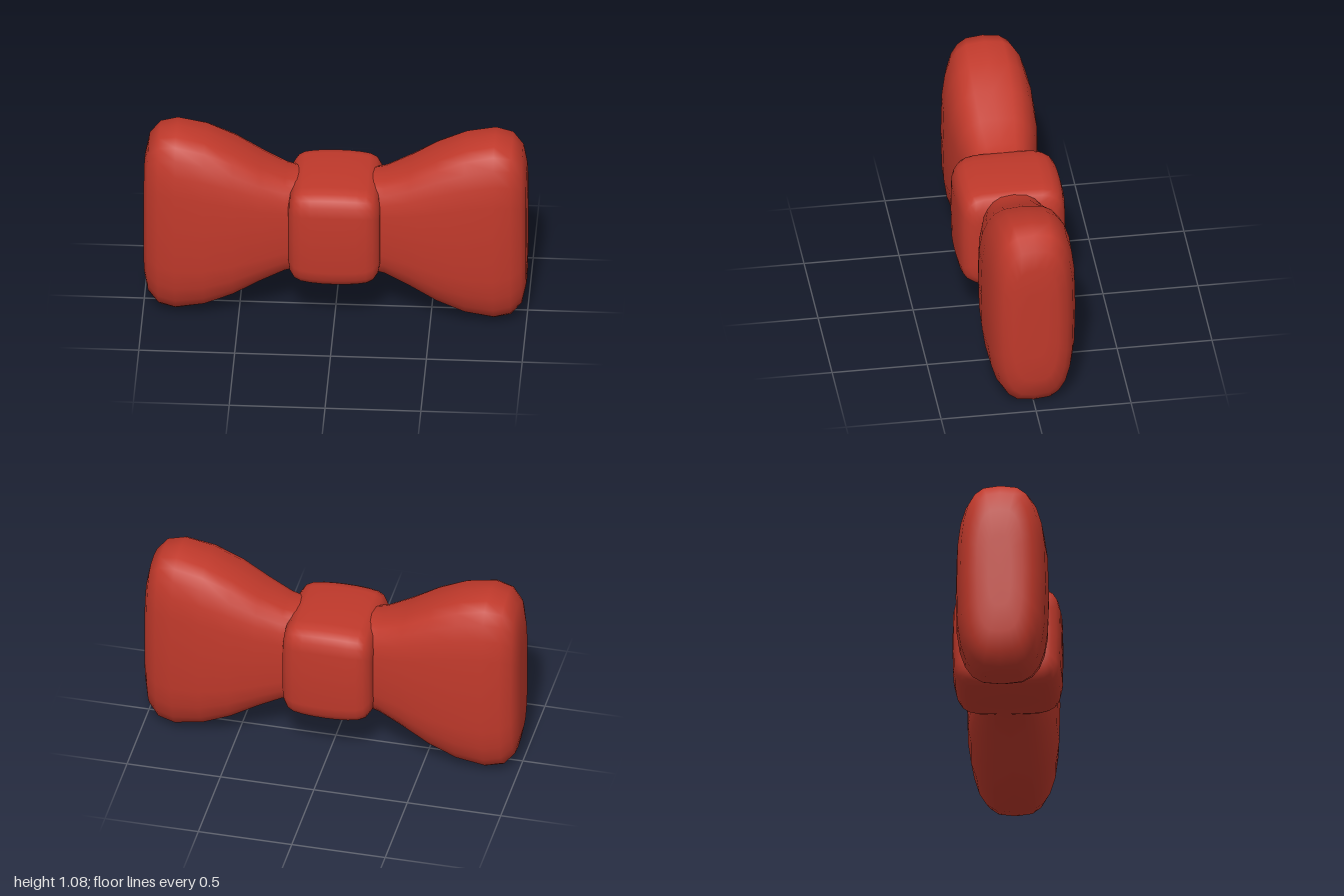
import * as THREE from 'three';

const SIDES = 24;
const CENTER_Y = 0.545;

// Smooth closed solid through rounded-rectangle sections [x, halfHeight, halfDepth]
function loft(sections, power) {
  const positions = [];
  const index = [];
  const round = (v) => Math.sign(v) * Math.pow(Math.abs(v), 2 / power);
  for (const [x, h, d] of sections) {
    for (let j = 0; j < SIDES; j++) {
      const a = (j / SIDES) * Math.PI * 2;
      positions.push(x, h * round(Math.sin(a)), d * round(Math.cos(a)));
    }
  }
  const rings = sections.length;
  const startCap = rings * SIDES;
  const endCap = startCap + 1;
  positions.push(sections[0][0], 0, 0, sections[rings - 1][0], 0, 0);
  for (let j = 0; j < SIDES; j++) {
    const k = (j + 1) % SIDES;
    for (let i = 0; i < rings - 1; i++) {
      const a = i * SIDES + j, b = a + SIDES;
      const c = i * SIDES + k, d = c + SIDES;
      index.push(a, b, c, b, d, c);
    }
    const last = (rings - 1) * SIDES;
    index.push(startCap, j, k, endCap, last + k, last + j);
  }
  const geometry = new THREE.BufferGeometry();
  geometry.setAttribute('position', new THREE.Float32BufferAttribute(positions, 3));
  geometry.setIndex(index);
  geometry.computeVertexNormals();
  return geometry;
}

export function createModel() {
  const group = new THREE.Group();
  group.name = 'bowTie';
  const red = new THREE.MeshStandardMaterial({ color: 0xc0392b });
  red.name = 'red fabric';

  // Flared wings, the second turned half way round
  const wing = loft([
    [0.08, 0.25, 0.13], [0.19, 0.275, 0.165], [0.26, 0.287, 0.185],
    [0.39, 0.352, 0.215], [0.53, 0.438, 0.236], [0.68, 0.507, 0.243],
    [0.83, 0.54, 0.232], [0.92, 0.521, 0.208], [0.975, 0.455, 0.17],
    [0.997, 0.35, 0.12], [1.0, 0.2, 0.06],
  ], 3.1);
  for (const [name, turn] of [['leftWing', 0], ['rightWing', Math.PI]]) {
    const mesh = new THREE.Mesh(wing, red);
    mesh.name = name;
    mesh.position.y = CENTER_Y;
    mesh.rotation.y = turn;
    group.add(mesh);
  }

  // Rounded knot: half profile mirrored across x
  const half = [
    [0.06, 0.294, 0.287], [0.12, 0.29, 0.284], [0.17, 0.284, 0.277],
    [0.205, 0.27, 0.262], [0.23, 0.235, 0.235], [0.24, 0.18, 0.2], [0.242, 0.09, 0.1],
  ];
  const mirrored = half.map(([x, h, d]) => [-x, h, d]).reverse();
  const knot = new THREE.Mesh(loft([...mirrored, [0, 0.295, 0.288], ...half], 4.9), red);
  knot.name = 'knot';
  knot.position.y = CENTER_Y;
  group.add(knot);

  return group;
}
